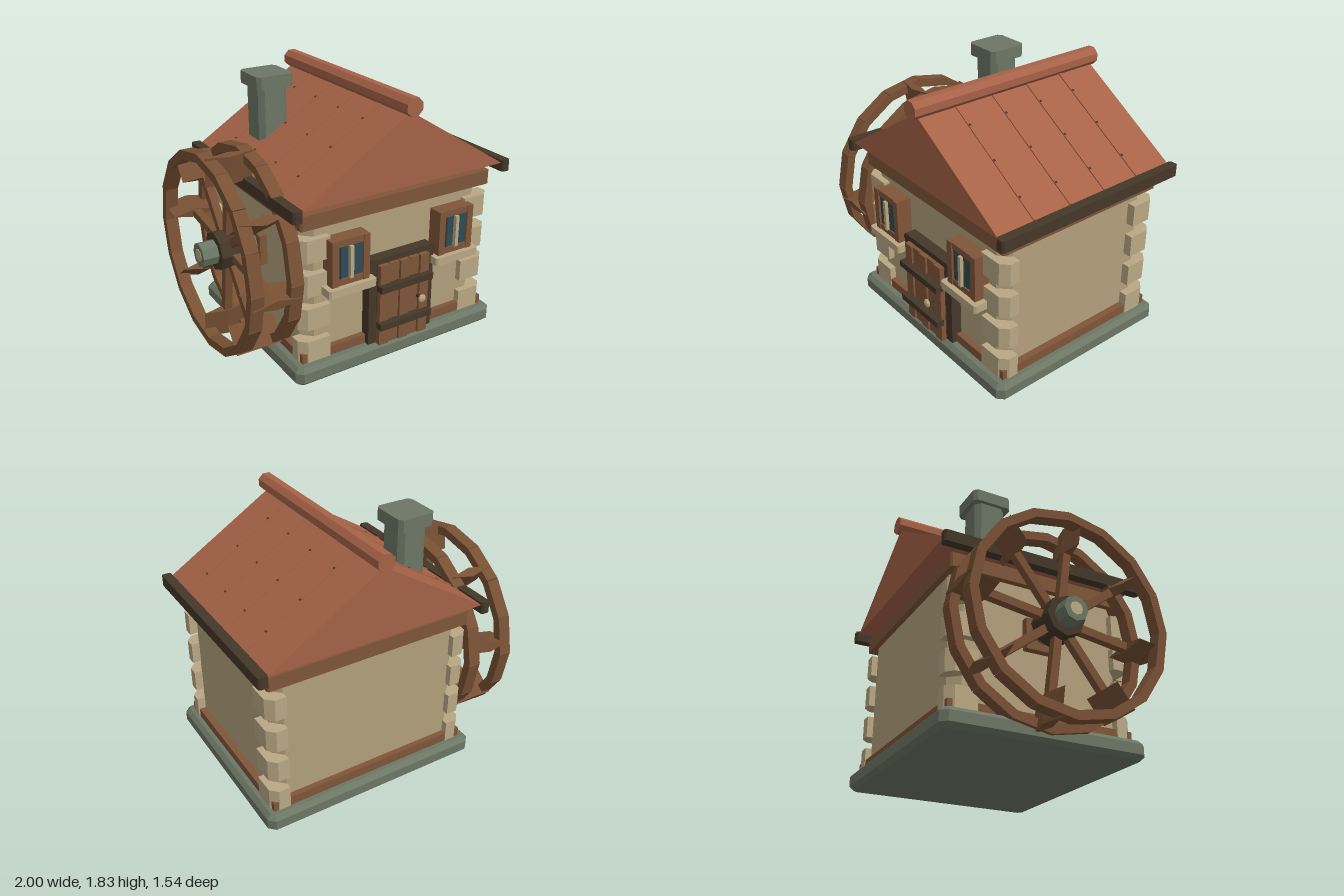
import * as THREE from 'three';

const mat = (name, color) => {
  const m = new THREE.MeshStandardMaterial({ color });
  m.name = name;
  return m;
};

export function createModel() {
  const plaster = mat('plaster', 0xb3a07c);
  const stone = mat('cornerStone', 0xb9a884);
  const slate = mat('greyStone', 0x6c7665);
  const tile = mat('roofTile', 0xa66247);
  const wood = mat('wood', 0x7f5539);
  const darkWood = mat('darkWood', 0x443728);
  const glass = mat('glass', 0x2c4c55);
  const wheelWood = mat('wheelWood', 0x785034);

  const root = new THREE.Group();
  root.name = 'watermill';
  const CX = 0.15, CZ = -0.02;

  const add = (name, geo, m, x = 0, y = 0, z = 0, parent = root) => {
    const mesh = new THREE.Mesh(geo, m);
    mesh.name = name;
    mesh.position.set(x, y, z);
    parent.add(mesh);
    return mesh;
  };
  // box given by its limits
  const box = (name, m, x0, x1, y0, y1, z0, z1, parent = root) =>
    add(name, new THREE.BoxGeometry(x1 - x0, y1 - y0, z1 - z0), m,
      (x0 + x1) / 2, (y0 + y1) / 2, (z0 + z1) / 2, parent);
  const flat = (g) => {
    const f = g.toNonIndexed();
    f.computeVertexNormals();
    return f;
  };
  const polygon = (pts) => new THREE.Shape(pts.map(([x, y]) => new THREE.Vector2(x, y)));
  // upright block with cut corners c and optional bevel b on top and bottom edges
  const cutBlock = (w, h, d, c, b = 0) => {
    const x = w / 2 - b, z = d / 2 - b;
    const s = polygon([[x, -z + c], [x, z - c], [x - c, z], [-x + c, z],
      [-x, z - c], [-x, -z + c], [-x + c, -z], [x - c, -z]]);
    return new THREE.ExtrudeGeometry(s, {
      depth: h - 2 * b, bevelEnabled: b > 0, bevelThickness: b, bevelSize: b, bevelSegments: 1,
    }).rotateX(-Math.PI / 2).translate(0, b, 0);
  };

  // foundation and walls
  add('foundation', cutBlock(1.63, 0.13, 1.43, 0.025, 0.03), slate, 0.145, 0, -0.015);
  add('walls', cutBlock(1.41, 0.98, 1.22, 0.07), plaster, CX - 0.003, 0.12, CZ);
  add('topBeam', cutBlock(1.5, 0.1, 1.3, 0.012), wood, CX, 1.075, CZ);

  // skirting boards, stopped short of the corners
  for (const s of [-1, 1]) {
    box('skirtingEnd', wood, CX - 0.7, CX + 0.7, 0.12, 0.195, CZ + s * 0.625 - 0.025, CZ + s * 0.625 + 0.025);
    box('skirtingSide', wood, CX + s * 0.725 - 0.025, CX + s * 0.725 + 0.025, 0.12, 0.195, CZ - 0.65, CZ + 0.65);
  }

  // corner stones, long along x in front and long along z behind
  for (const sx of [-1, 1]) for (const sz of [-1, 1]) {
    const lx = sz > 0 ? 0.22 : 0.13, lz = sz > 0 ? 0.12 : 0.2, c = 0.05;
    const ox = sx * 0.76, oz = sz * 0.655;
    const plan = polygon([
      [ox - sx * lx, -oz + sz * lz], [ox - sx * lx, -oz], [ox - sx * c, -oz],
      [ox, -oz + sz * c], [ox, -oz + sz * lz],
    ]);
    const geo = new THREE.ExtrudeGeometry(plan, { depth: 0.155, bevelEnabled: false }).rotateX(-Math.PI / 2);
    for (let i = 0; i < 4; i++) add('cornerStone', geo, stone, CX, 0.13 + i * 0.24, CZ);
  }

  // gable roof
  const eave = 0.79, rise = 0.49, zf = 0.7, zb = -0.74;
  const gable = polygon([[-eave, 0], [eave, 0], [0, rise]]);
  add('roof', new THREE.ExtrudeGeometry(gable, { depth: zf - zb, bevelEnabled: false }), tile, 0.147, 1.24, zb);
  const slope = Math.atan2(rise, eave), slant = Math.hypot(rise, eave);
  for (const s of [-1, 1]) {
    for (let i = 0; i < 4; i++) {
      const seam = add('roofSeam', new THREE.BoxGeometry(slant - 0.04, 0.016, 0.02), tile,
        0.147 + s * eave / 2, 1.24 + rise / 2, 0.415 - i * 0.288);
      seam.rotation.z = -s * slope;
      for (const t of [-0.3, 0, 0.3]) {
        add('roofNail', new THREE.BoxGeometry(0.014, 0.006, 0.014), darkWood, t * slant, 0.008, 0, seam);
      }
    }
    add('eaveBeam', cutBlock(0.066, 0.08, 1.48, 0.012), darkWood, 0.15 + s * 0.815, 1.18, -0.02);
  }
  const ridge = flat(new THREE.CylinderGeometry(0.064, 0.064, 1.51, 8).rotateY(Math.PI / 8).rotateX(Math.PI / 2));
  add('ridgeLog', ridge, tile, 0.147, 1.768, -0.015);

  // chimney
  add('chimneyStack', cutBlock(0.215, 0.5, 0.22, 0.035), slate, -0.315, 1.27, -0.3);
  add('chimneyCap', cutBlock(0.27, 0.085, 0.28, 0.025), slate, -0.315, 1.742, -0.3);

  // door
  const door = new THREE.Group();
  door.name = 'door';
  root.add(door);
  box('doorPostLeft', darkWood, 0.35, 0.412, 0.12, 0.73, 0.56, 0.665, door);
  box('doorPostRight', darkWood, -0.112, -0.05, 0.12, 0.73, 0.56, 0.665, door);
  const lintel = polygon([[-0.265, 0], [0.265, 0], [0.265, 0.02], [0.245, 0.045], [-0.245, 0.045], [-0.265, 0.02]]);
  add('doorLintel', new THREE.ExtrudeGeometry(lintel, { depth: 0.11, bevelEnabled: false }), darkWood, 0.15, 0.715, 0.56, door);
  box('doorBack', darkWood, -0.05, 0.35, 0.125, 0.72, 0.58, 0.67, door);
  for (let i = 0; i < 5; i++) {
    const x = -0.05 + i * 0.081;
    box('doorPlank', wood, x, x + 0.074, 0.125, 0.72, 0.6, i % 2 ? 0.695 : 0.705, door);
  }
  for (const y of [0.26, 0.54]) box('doorBrace', darkWood, -0.065, 0.355, y, y + 0.046, 0.69, 0.745, door);
  const knob = add('doorKnob', flat(new THREE.SphereGeometry(0.03, 8, 5)), stone, 0.26, 0.42, 0.755, door);
  knob.scale.z = 0.55;
  box('doorKnobStem', darkWood, 0.25, 0.27, 0.41, 0.43, 0.7, 0.75, door);

  // windows
  for (const x of [-0.277, 0.57]) {
    const w = new THREE.Group();
    w.name = 'window';
    w.position.x = x;
    root.add(w);
    for (const s of [-1, 1]) {
      box('windowStile', wood, s * 0.118 - 0.024, s * 0.118 + 0.024, 0.665, 0.985, 0.57, 0.7, w);
    }
    box('windowHead', wood, -0.1, 0.1, 0.938, 0.985, 0.57, 0.695, w);
    box('windowFoot', wood, -0.1, 0.1, 0.665, 0.712, 0.57, 0.695, w);
    box('windowPane', glass, -0.096, 0.096, 0.71, 0.94, 0.57, 0.685, w);
    for (const s of [-1, 1]) {
      box('windowShade', darkWood, s * 0.045 - 0.03, s * 0.045 - 0.022, 0.712, 0.938, 0.68, 0.69, w);
    }
    box('windowMullion', stone, -0.013, 0.013, 0.712, 0.935, 0.68, 0.713, w);
    add('windowSill', cutBlock(0.36, 0.055, 0.165, 0.012), stone, 0, 0.613, 0.65, w);
  }

  // water wheel, turning about the x axis
  const wheel = new THREE.Group();
  wheel.name = 'waterWheel';
  wheel.position.set(-0.79, 0.75, CZ);
  root.add(wheel);
  const arm = (name, a) => {
    const g = new THREE.Group();
    g.name = name;
    g.rotation.x = -a;
    wheel.add(g);
    return g;
  };
  const rimGeo = new THREE.BoxGeometry(0.09, 0.268, 0.06);
  for (let i = 0; i < 16; i++) {
    const g = arm('rimSegment', (i + 0.5) * Math.PI / 8);
    for (const s of [-1, 1]) add('rim', rimGeo, wheelWood, s * 0.137, 0, 0.657, g);
  }
  // paddles are boards with a diamond section, each on its own spoke
  const paddlePlan = polygon([[-0.165, 0], [0, -0.035], [0.165, 0], [0, 0.035]]);
  const paddleGeo = new THREE.ExtrudeGeometry(paddlePlan, { depth: 0.2, bevelEnabled: false });
  for (let i = 0; i < 8; i++) {
    const g = arm('wheelArm', i * Math.PI / 4 - 0.14);
    add('paddle', paddleGeo, wheelWood, 0, 0, 0.5, g);
    add('spoke', new THREE.BoxGeometry(0.055, 0.055, 0.5), wheelWood, 0, 0, 0.32, g);
  }
  const drum = (r, l, n) => flat(new THREE.CylinderGeometry(r, r, l, n).rotateZ(Math.PI / 2));
  add('hub', drum(0.135, 0.2, 8), darkWood, 0, 0, 0, wheel);
  add('axle', drum(0.085, 0.5, 8), slate, 0.04, 0, 0, wheel);
  add('axlePin', drum(0.045, 0.02, 8), stone, -0.203, 0, 0, wheel);
  box('bearingPlate', wood, 0.18, 0.26, -0.13, 0.085, -0.12, 0.12, wheel);

  return root;
}
